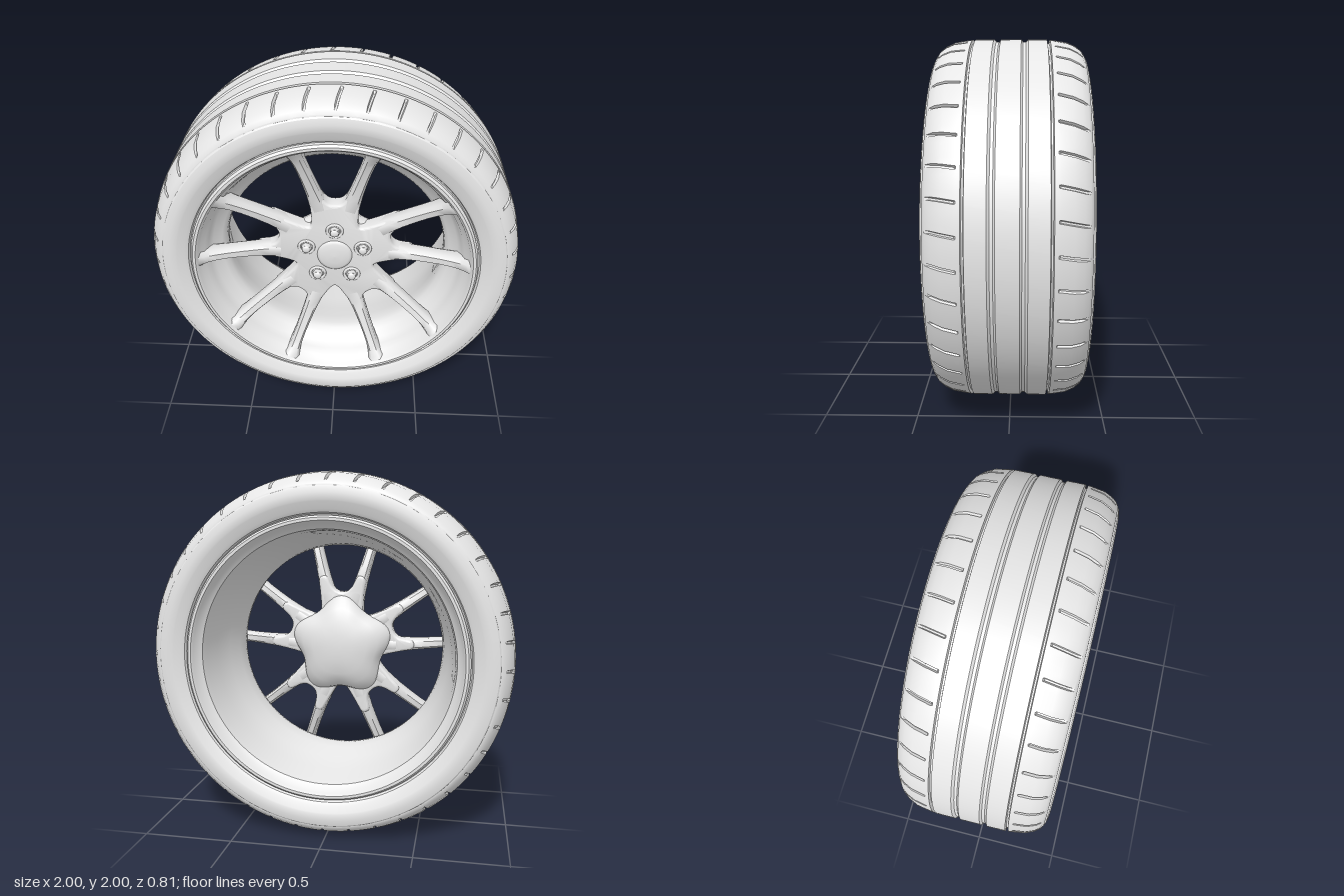
import * as THREE from 'three';
import { toCreasedNormals } from 'three/addons/utils/BufferGeometryUtils.js';

const grey = new THREE.MeshStandardMaterial({ color: 0xe6e6e6 });
grey.name = 'plain grey';

function part(name, geometry, parent) {
  const mesh = new THREE.Mesh(geometry, grey);
  mesh.name = name;
  parent.add(mesh);
  return mesh;
}

// Revolve [radius, z] points about the z axis; outer surfaces run towards +z
function turned(points, segments) {
  const g = new THREE.LatheGeometry(points.map(([r, z]) => new THREE.Vector2(r, z)), segments);
  return g.rotateX(Math.PI / 2);
}

// Tyre: grooved tread, with slanted cuts pressed into both shoulders
function tyreGeometry() {
  const half = [
    [1, 0.055], [0.988, 0.065], [0.988, 0.08], [1, 0.092], [1, 0.192], [0.98, 0.196],
    [0.98, 0.204], [0.998, 0.208], [0.996, 0.228], [0.995, 0.236], [0.985, 0.3], [0.965, 0.345],
    [0.944, 0.373], [0.925, 0.387], [0.918, 0.388], [0.911, 0.395], [0.88, 0.403],
    [0.845, 0.401], [0.838, 0.398], [0.8, 0.387], [0.782, 0.376], [0.775, 0.36], [0.76, 0.355],
  ];
  const profile = [...half.map(([r, z]) => [r, -z]).reverse(), ...half];
  const pitches = 40;
  const columns = [0, 0.22, 0.445, 0.47, 0.53, 0.555, 0.78];
  const n = columns.length;
  const g = turned(profile, pitches * n);
  const pos = g.attributes.position;
  for (let i = 0; i <= pitches * n; i++) {
    const c = i % n;
    const turn = (Math.floor(i / n) + columns[c]) / pitches * Math.PI * 2;
    profile.forEach(([r, z], j) => {
      const onShoulder = r > 0.95 && Math.abs(z) > 0.23;
      const cut = onShoulder && (c === 3 || c === 4);
      const radius = cut ? r - 0.015 : r;
      const a = turn + z * 0.18 - Math.PI / 2;
      pos.setXYZ(i * profile.length + j, radius * Math.cos(a), radius * Math.sin(a), z);
    });
  }
  return toCreasedNormals(g, 0.5);
}

// Rim: front lip, stepped front bowl, drop centre and long rear barrel
function rimGeometry() {
  return toCreasedNormals(turned([
    [0.768, 0.355], [0.768, 0.38], [0.757, 0.393], [0.742, 0.393],
    [0.73, 0.378], [0.722, 0.345], [0.704, 0.328], [0.69, 0.285], [0.672, 0.25],
    [0.63, 0.215], [0.608, 0.19], [0.603, 0.15], [0.615, 0.08], [0.645, -0.02],
    [0.675, -0.15], [0.688, -0.28], [0.698, -0.325], [0.722, -0.345], [0.732, -0.375],
    [0.742, -0.39], [0.757, -0.39], [0.768, -0.378], [0.768, -0.355],
  ], 128), 0.6);
}

// Spoke: eight-cornered section swept outwards in a hollow curve, flared at both ends
function spokeGeometry() {
  const stations = [ // radius, width, front z, back z
    [0.25, 0.1, 0.236, 0.15], [0.31, 0.094, 0.246, 0.15], [0.36, 0.084, 0.254, 0.155],
    [0.42, 0.073, 0.265, 0.166], [0.5, 0.066, 0.284, 0.185], [0.58, 0.062, 0.307, 0.207],
    [0.64, 0.063, 0.329, 0.224], [0.68, 0.069, 0.348, 0.234], [0.71, 0.08, 0.366, 0.24],
    [0.73, 0.094, 0.378, 0.24],
  ];
  const verts = [];
  const index = [];
  stations.forEach(([r, w, front, back], s) => {
    const high = front - 0.025, low = back + 0.02;
    [[0.25, back], [0.45, low], [0.5, high], [0.28, front],
      [-0.28, front], [-0.5, high], [-0.45, low], [-0.25, back]]
      .forEach(([x, z]) => verts.push(x * w, r, z));
    if (s === 0) return;
    for (let k = 0; k < 8; k++) {
      const a = (s - 1) * 8 + k, b = (s - 1) * 8 + (k + 1) % 8;
      index.push(a, a + 8, b, b, a + 8, b + 8);
    }
  });
  const g = new THREE.BufferGeometry();
  g.setAttribute('position', new THREE.Float32BufferAttribute(verts, 3));
  g.setIndex(index);
  return toCreasedNormals(g, 0.95);
}

// Hub plate: its outline runs out along each spoke and sweeps round between them
function hubGeometry() {
  const side = [[6, 0.334], [10, 0.368], [13, 0.43], [18.5, 0.43], [22, 0.355], [26, 0.29],
    [31, 0.245]]; // degrees from the middle of a pair, radius
  const fifth = [[0, 0.325], ...side, [36, 0.228], ...side.map(([d, r]) => [72 - d, r]).reverse()];
  const outline = [];
  for (let i = 0; i < 5; i++) {
    for (const [d, r] of fifth) {
      const a = THREE.MathUtils.degToRad(90 + i * 72 + d);
      outline.push(new THREE.Vector3(r * Math.cos(a), r * Math.sin(a), 0));
    }
  }
  const curve = new THREE.CatmullRomCurve3(outline, true);
  const shape = new THREE.Shape(curve.getPoints(240).slice(0, -1).map(p => new THREE.Vector2(p.x, p.y)));
  const g = new THREE.ExtrudeGeometry(shape, {
    depth: 0.06, bevelEnabled: true, bevelThickness: 0.016, bevelSize: 0.014,
    bevelOffset: -0.014, bevelSegments: 3,
  });
  return toCreasedNormals(g.translate(0, 0, 0.168), 0.7);
}

// Hub back: a dome whose edge is drawn in slightly between the spoke pairs
function hubBackGeometry() {
  const g = turned([[0, 0.05], [0.08, 0.054], [0.16, 0.069], [0.22, 0.094],
    [0.262, 0.128], [0.28, 0.162], [0.272, 0.19], [0.22, 0.215]], 80);
  const pos = g.attributes.position;
  for (let i = 0; i < pos.count; i++) {
    const x = pos.getX(i), y = pos.getY(i);
    const lobe = Math.cos(5 * (Math.atan2(y, x) - Math.PI / 2));
    const scale = 1 + 0.11 * lobe * (Math.hypot(x, y) / 0.28) ** 3;
    pos.setXY(i, x * scale, y * scale);
  }
  return toCreasedNormals(g, 1);
}

export function createModel() {
  const model = new THREE.Group();
  model.name = 'carWheel';
  const wheel = new THREE.Group();
  wheel.name = 'wheelAssembly';
  wheel.position.y = 1;
  model.add(wheel);

  part('tyre', tyreGeometry(), wheel);
  part('rim', rimGeometry(), wheel);
  part('hubPlate', hubGeometry(), wheel);
  part('hubBack', hubBackGeometry(), wheel);
  part('centreCap', turned([[0.1, 0.235], [0.095, 0.25], [0.08, 0.257], [0.045, 0.263],
    [0, 0.265]], 48), wheel);

  // Five pairs of spokes, with a wheel nut at the root of each pair
  const spoke = spokeGeometry();
  const seat = new THREE.TorusGeometry(0.041, 0.008, 8, 24);
  const nut = new THREE.CylinderGeometry(0.026, 0.031, 0.035, 6).rotateX(Math.PI / 2);
  const nutTip = new THREE.SphereGeometry(0.023, 16, 8, 0, Math.PI * 2, 0, Math.PI / 2)
    .scale(1, 0.5, 1).rotateX(Math.PI / 2);
  for (let i = 0; i < 5; i++) {
    const pair = new THREE.Group();
    pair.name = 'spokePair';
    pair.rotation.z = i * Math.PI * 2 / 5;
    for (const side of [-1, 1]) {
      part('spoke', spoke, pair).rotation.z = side * THREE.MathUtils.degToRad(15.8);
    }
    part('nutSeat', seat, pair).position.set(0, 0.163, 0.244);
    part('wheelNut', nut, pair).position.set(0, 0.163, 0.25);
    part('nutTip', nutTip, pair).position.set(0, 0.163, 0.267);
    wheel.add(pair);
  }
  return model;
}
